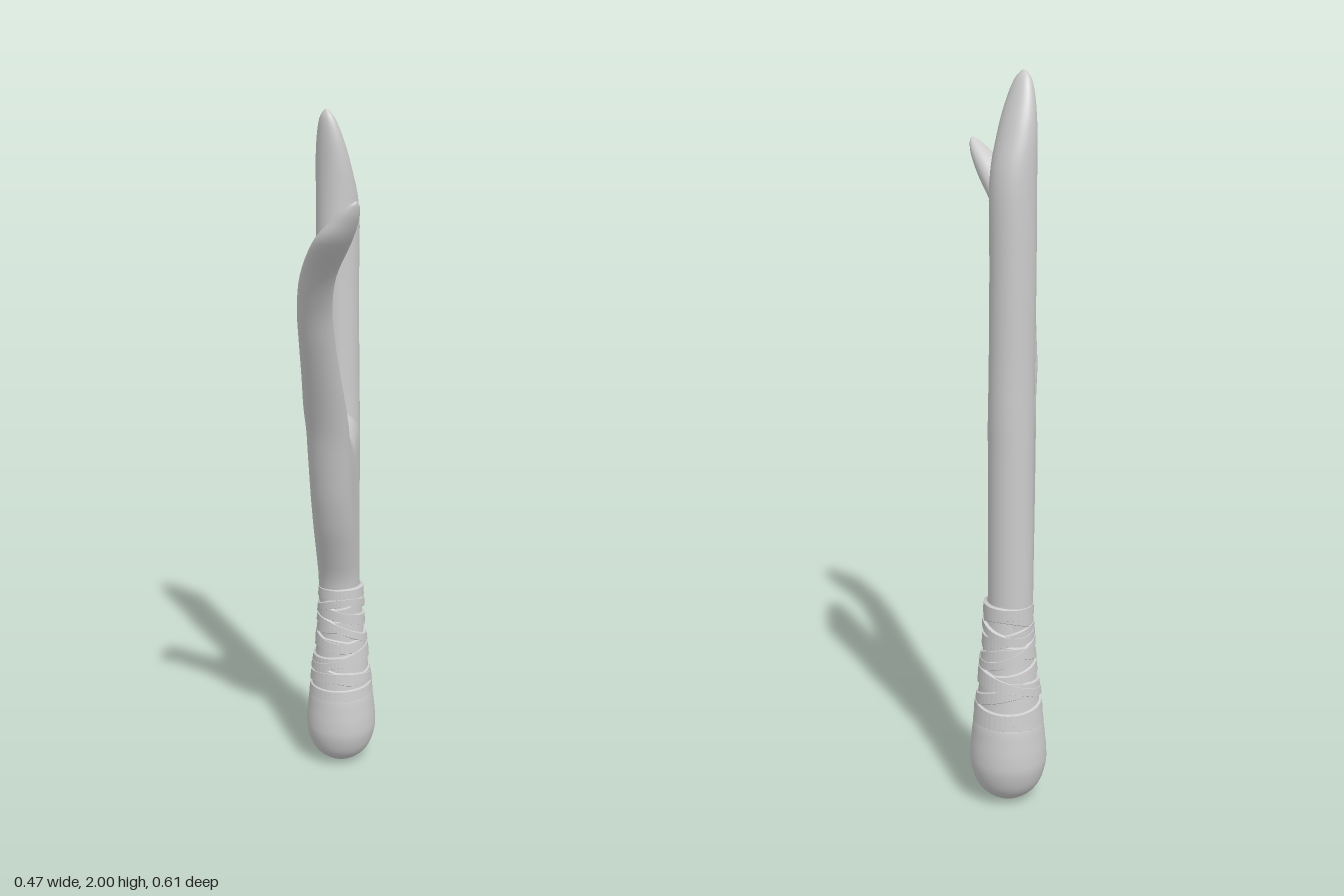
import * as THREE from 'three';

const AX = 0.127, AZ = -0.205;            // axis of handle and straight prong
const FORK = THREE.MathUtils.degToRad(135); // horizontal heading of the side prong
const rad = THREE.MathUtils.degToRad;

// Linear interpolation in a list of [key, value] pairs
function lookup(table, k) {
  for (let i = 1; i < table.length; i++) {
    const [a, va] = table[i - 1], [b, vb] = table[i];
    if (k <= b) return va + (vb - va) * Math.max(0, (k - a) / (b - a));
  }
  return table[table.length - 1][1];
}

// Forked stick: one trunk of stadium sections that splits along a saddle into two prongs
function forkGeometry() {
  const pos = [], index = [];
  const add = (x, y, z) => pos.push(x, y, z) / 3 - 1;
  const addUV = (u, y, v) => add(
    AX + u * Math.cos(FORK) - v * Math.sin(FORK), y,
    AZ + u * Math.sin(FORK) + v * Math.cos(FORK));
  const loft = (lo, hi) => lo.forEach((a, i) => {
    const j = (i + 1) % lo.length;
    index.push(a, hi[i], lo[j], lo[j], hi[i], hi[j]);
  });

  // Trunk
  const spread = [[0.5, 0], [0.58, 0], [0.63, 0.012], [0.7, 0.042], [0.8, 0.088], [0.9, 0.125], [1.02, 0.16]];
  const R = 0.062, top = 1.02;
  let ring = null, c = 0;
  for (let k = 0; k <= 16; k++) {
    const y = 0.5 + (top - 0.5) * k / 16;
    c = lookup(spread, y);
    const next = [addUV(c / 2, y, R * 0.98)];
    for (let i = 0; i <= 16; i++) {
      const a = rad(90 + i * 11.25);
      next.push(addUV(R * Math.cos(a), y, R * Math.sin(a)));
    }
    next.push(addUV(c / 2, y, -R * 0.98));
    for (let i = 0; i <= 16; i++) {
      const a = rad(270 + i * 11.25);
      next.push(addUV(c + R * Math.cos(a), y, R * Math.sin(a)));
    }
    if (ring) loft(ring, next);
    ring = next;
  }

  // Saddle between the prongs
  const seam = [];
  for (let k = 1; k < 8; k++) {
    const t = Math.PI * k / 8;
    seam.push(addUV(c / 2, top + 0.08 * Math.sin(t), -R * 0.98 * Math.cos(t)));
  }

  // Prong rows: y, x, z, half width x, half width z, lift of the inner side
  const angles = [72];
  for (let i = 0; i <= 16; i++) angles.push(90 + i * 11.25);
  for (let k = 0; k < 8; k++) angles.push(288 + k * 18);
  function prong(start, rows, heading, lean) {
    const centres = new THREE.CatmullRomCurve3(rows.map(r => new THREE.Vector3(r[1], r[0], r[2])), false, 'catmullrom');
    const sizes = new THREE.CatmullRomCurve3(rows.map(r => new THREE.Vector3(r[3], r[4], r[5])), false, 'catmullrom');
    const steps = (rows.length - 1) * 4;
    let prev = start;
    for (let k = 0; k <= steps; k++) {
      const p = centres.getPoint(k / steps), s = sizes.getPoint(k / steps);
      const next = angles.map(deg => {
        const a = rad(deg), w = a + heading;
        const lift = s.z * Math.max(0, Math.cos(a));
        return add(p.x + s.x * Math.cos(w) - lift * lean, p.y + lift, p.z + s.y * Math.sin(w) + lift * lean);
      });
      loft(prev, next);
      prev = next;
    }
    const end = rows[rows.length - 1];
    const tip = add(end[1], end[0] + 0.001, end[2]);
    prev.forEach((a, i) => index.push(a, tip, prev[(i + 1) % prev.length]));
  }

  // Straight prong with a slanted tip
  prong([...ring.slice(0, 19), ...seam], [
    [1.06, AX, AZ, 0.063, 0.062, 0.08],
    [1.13, AX, AZ - 0.001, 0.063, 0.061, 0.05],
    [1.24, 0.126, -0.207, 0.063, 0.06, 0],
    [1.5, 0.126, -0.21, 0.063, 0.06, 0],
    [1.72, 0.126, -0.21, 0.063, 0.06, 0],
    [1.84, 0.111, -0.208, 0.048, 0.057, 0],
    [1.92, 0.096, -0.204, 0.033, 0.046, 0],
    [1.975, 0.085, -0.201, 0.019, 0.028, 0],
    [1.999, 0.081, -0.2, 0.005, 0.007, 0]], FORK, 0);

  // Bent side prong
  prong([...ring.slice(18), ring[0], ...seam.slice().reverse()], [
    [1.06, 0.006, -0.084, 0.062, 0.062, 0.08],
    [1.12, -0.008, -0.07, 0.061, 0.062, 0.04],
    [1.2, -0.034, -0.048, 0.059, 0.062, 0],
    [1.3, -0.071, -0.012, 0.053, 0.056, 0],
    [1.4, -0.107, 0.023, 0.048, 0.053, 0],
    [1.5, -0.138, 0.057, 0.044, 0.054, 0],
    [1.6, -0.165, 0.113, 0.043, 0.056, 0],
    [1.7, -0.187, 0.208, 0.05, 0.05, 0],
    [1.76, -0.184, 0.26, 0.036, 0.034, 0],
    [1.795, -0.182, 0.29, 0.019, 0.015, 0],
    [1.809, -0.181, 0.302, 0.004, 0.003, 0]], FORK + Math.PI, 0.37);

  const g = new THREE.BufferGeometry();
  g.setAttribute('position', new THREE.Float32BufferAttribute(pos, 3));
  g.setIndex(index);
  g.computeVertexNormals();
  return g;
}

const GRIP = [[0.2, 0.1], [0.25, 0.094], [0.32, 0.086], [0.4, 0.076], [0.48, 0.068], [0.6, 0.064]];

// One turn of wrapping: a thin strip that follows the grip and is tilted
function wrapBand(y0, height, tilt, phase, lift) {
  const n = 40, pts = [[0, -0.004], [0.004, lift], [height - 0.004, lift], [height, -0.004]];
  const g = new THREE.LatheGeometry(pts.map(p => new THREE.Vector2(1, p[0])), n).toNonIndexed();
  const p = g.attributes.position;
  for (let i = 0; i < p.count; i++) {
    const a = Math.atan2(p.getZ(i), p.getX(i)), h = p.getY(i);
    const y = THREE.MathUtils.clamp(y0 + h + tilt * Math.cos(a - phase), 0.228, 0.587);
    const off = h < 0.002 || h > height - 0.002 ? -0.004 : lift;
    const r = lookup(GRIP, y) + off;
    p.setXYZ(i, r * Math.cos(a), y, r * Math.sin(a));
  }
  g.computeVertexNormals();
  return g;
}

export function createModel() {
  const model = new THREE.Group();
  const mat = new THREE.MeshStandardMaterial({ color: 0xcccccc, roughness: 0.8 });
  const thin = new THREE.MeshStandardMaterial({ color: 0xcccccc, roughness: 0.8, side: THREE.DoubleSide });
  const put = (name, geo, m = mat, onAxis = true) => {
    const mesh = new THREE.Mesh(geo, m);
    mesh.name = name;
    if (onAxis) mesh.position.set(AX + 0.003, 0, AZ + 0.005);
    return mesh;
  };

  model.add(put('forkedStick', forkGeometry(), mat, false));

  // Rounded pommel
  const knob = new THREE.SplineCurve([[0, 0], [0.045, 0.01], [0.085, 0.046], [0.105, 0.1],
    [0.107, 0.145], [0.103, 0.19], [0.097, 0.235], [0.085, 0.26]].map(p => new THREE.Vector2(...p)));
  const knobPoints = knob.getPoints(28);
  knobPoints.forEach(p => { p.x = Math.max(0, p.x); p.y = Math.max(0, p.y); });
  model.add(put('pommel', new THREE.LatheGeometry(knobPoints, 40)));

  // Grip core under the wrapping
  const core = GRIP.map(([y, r]) => new THREE.Vector2(r - 0.002, Math.min(y, 0.583)));
  core.push(new THREE.Vector2(0.05, 0.583));
  model.add(put('gripCore', new THREE.LatheGeometry(core, 40)));

  // Wrapping turns, tilted in alternating directions
  const wrap = new THREE.Group();
  wrap.name = 'gripWrapping';
  const turns = 10;
  for (let i = 0; i < turns; i++) {
    const y = 0.23 + 0.316 * i / (turns - 1);
    const tilt = i === 0 || i === turns - 1 ? 0.004 : 0.012 + 0.007 * (i % 3);
    wrap.add(put('wrapTurn', wrapBand(y, 0.038, tilt, i * 2.3, 0.003 + 0.0015 * (i % 2)), thin));
  }
  [[0.34, 0.03, 0.6], [0.43, 0.035, 3.4], [0.5, 0.03, 1.9]].forEach(([y, tilt, phase]) =>
    wrap.add(put('wrapCrossing', wrapBand(y, 0.03, tilt, phase, 0.006), thin)));
  model.add(wrap);

  return model;
}
